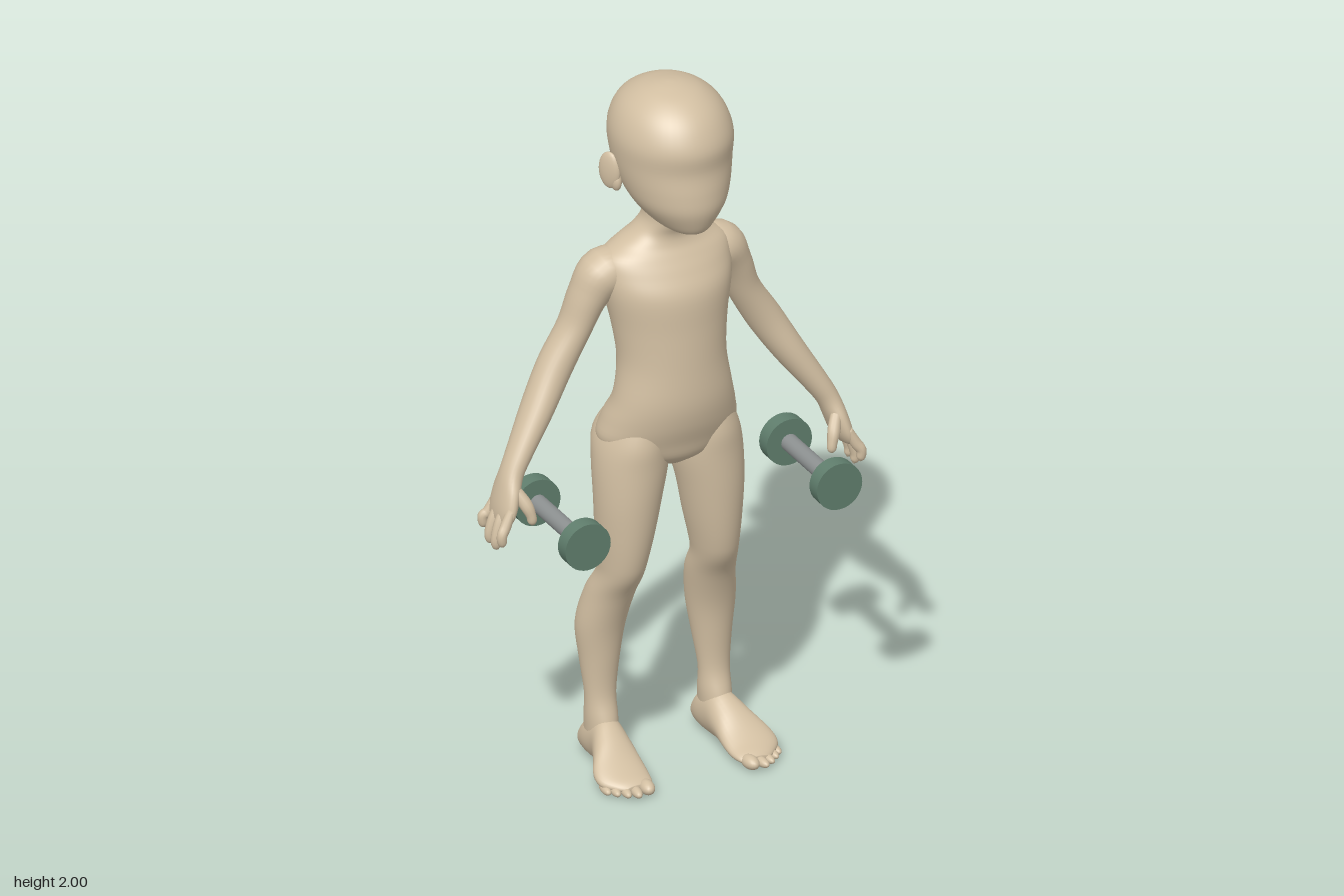
import * as THREE from 'three';

const skin = new THREE.MeshStandardMaterial({ color: 0xd2bfa2 });
skin.name = 'skin';
const green = new THREE.MeshStandardMaterial({ color: 0x5f7d6c });
green.name = 'weightGreen';
const grey = new THREE.MeshStandardMaterial({ color: 0x8c9090 });
grey.name = 'handleGrey';

const V = (x, y, z) => new THREE.Vector3(x, y, z);

// Smoothly interpolate between rows of numbers
function smooth(rows, steps) {
  const out = [];
  const at = i => rows[Math.max(0, Math.min(rows.length - 1, i))];
  for (let i = 0; i < rows.length - 1; i++) {
    for (let s = 0; s < steps; s++) {
      const t = s / steps;
      out.push(rows[i].map((b, k) => {
        const a = at(i - 1)[k], c = at(i + 1)[k], d = at(i + 2)[k];
        return b + 0.5 * t * (c - a + t * (2 * a - 5 * b + 4 * c - d + t * (3 * (b - c) + d - a)));
      }));
    }
  }
  out.push(rows[rows.length - 1]);
  return out;
}

// Skin over closed rings; each ring has centre c and half axes u, v (u x v points along the loft)
function loft(rings, seg, bend) {
  const pos = [], idx = [], n = rings.length;
  rings.forEach((ring, i) => {
    for (let j = 0; j < seg; j++) {
      const a = (j / seg) * Math.PI * 2;
      const p = ring.c.clone().addScaledVector(ring.u, Math.cos(a)).addScaledVector(ring.v, Math.sin(a));
      if (bend) bend(p, i, Math.cos(a));
      pos.push(p.x, p.y, p.z);
    }
  });
  for (let i = 0; i < n - 1; i++) {
    for (let j = 0; j < seg; j++) {
      const k = (j + 1) % seg, a = i * seg, b = a + seg;
      idx.push(a + j, a + k, b + j, a + k, b + k, b + j);
    }
  }
  const last = (n - 1) * seg, c0 = n * seg;
  pos.push(...rings[0].c.toArray(), ...rings[n - 1].c.toArray());
  for (let j = 0; j < seg; j++) {
    const k = (j + 1) % seg;
    idx.push(c0, k, j, c0 + 1, last + j, last + k);
  }
  const geo = new THREE.BufferGeometry();
  geo.setAttribute('position', new THREE.Float32BufferAttribute(pos, 3));
  geo.setIndex(idx);
  geo.computeVertexNormals();
  return geo;
}

// Upright loft from rows of [y, xMin, xMax, zFront, zBack, backGroove]
function upright(rows, seg = 40) {
  const r = smooth(rows, 5);
  return loft(r.map(([y, a, b, f, k]) => ({
    c: V((a + b) / 2, y, (f + k) / 2), u: V(0, 0, (f - k) / 2), v: V((b - a) / 2, 0, 0),
  })), seg, (p, i, front) => {
    const g = r[i][5] || 0;
    if (front < 0) p.z += g * Math.exp(-((p.x / 0.035) ** 2)) * -front;
  });
}

// Limb along points of [x, y, z, radius, zRadius]
function limb(points, seg = 24) {
  const r = smooth(points, 5);
  return loft(r.map(([x, y, z, a, b], i) => {
    const p = r[Math.max(0, i - 1)], q = r[Math.min(r.length - 1, i + 1)];
    const d = V(q[0] - p[0], q[1] - p[1], 0).normalize();
    return { c: V(x, y, z), u: V(0, 0, 1).cross(d).multiplyScalar(a), v: V(0, 0, b) };
  }), seg);
}

function mirrored(geo) {
  const g = geo.clone().scale(-1, 1, 1);
  const a = g.index.array;
  for (let i = 0; i < a.length; i += 3) [a[i + 1], a[i + 2]] = [a[i + 2], a[i + 1]];
  g.computeVertexNormals();
  return g;
}

function ball(x, y, z, rx, ry, rz, yaw = 0) {
  return new THREE.SphereGeometry(1, 20, 14).scale(rx, ry, rz).rotateY(yaw).translate(x, y, z);
}

export function createModel() {
  const model = new THREE.Group();
  model.name = 'figureWithDumbbells';
  const add = (name, geo, mat = skin) => {
    const m = new THREE.Mesh(geo, mat);
    m.name = name;
    model.add(m);
  };
  const pair = (name, geo, mat = skin) => {
    add('left' + name, geo, mat);
    add('right' + name, mirrored(geo), mat);
  };
  const sym = rows => rows.map(([y, w, f, b, g = 0]) => [y, -w, w, f, b, g]);

  // Torso and neck, with a groove down the back
  add('torso', upright(sym([
    [0.885, 0.06, 0.01, -0.1, 0.03], [0.92, 0.15, 0.052, -0.158, 0.045], [0.97, 0.196, 0.07, -0.18, 0.04],
    [1.03, 0.187, 0.09, -0.17, 0.02], [1.1, 0.166, 0.1, -0.135, 0.012], [1.2, 0.151, 0.096, -0.14, 0.016],
    [1.3, 0.16, 0.09, -0.16, 0.022], [1.4, 0.18, 0.083, -0.182, 0.025], [1.46, 0.187, 0.055, -0.182, 0.02],
    [1.5, 0.178, 0.03, -0.168, 0.01], [1.53, 0.135, 0.012, -0.155], [1.56, 0.088, 0.008, -0.14],
    [1.6, 0.061, 0.022, -0.128], [1.67, 0.06, 0.03, -0.125],
  ]), 64));

  // Head with smooth face
  add('head', upright(sym([
    [1.612, 0.03, 0.115, 0.03], [1.62, 0.058, 0.135, -0.03], [1.645, 0.09, 0.15, -0.105], [1.69, 0.124, 0.164, -0.145],
    [1.74, 0.144, 0.163, -0.182], [1.8, 0.157, 0.156, -0.207], [1.86, 0.161, 0.16, -0.217],
    [1.91, 0.149, 0.142, -0.206], [1.95, 0.124, 0.111, -0.177], [1.98, 0.085, 0.066, -0.126],
    [1.995, 0.043, 0.015, -0.07], [2.0, 0.008, -0.02, -0.035],
  ]), 48));
  pair('Ear', ball(0.163, 1.758, -0.06, 0.014, 0.053, 0.034, -0.45));
  pair('EarLobe', ball(0.15, 1.728, -0.048, 0.014, 0.028, 0.02));

  // Legs
  pair('Leg', upright([
    [1.04, 0.03, 0.165, 0.05, -0.14], [0.97, 0.012, 0.198, 0.064, -0.178], [0.9, 0.01, 0.21, 0.063, -0.158],
    [0.8, 0.032, 0.211, 0.06, -0.135], [0.7, 0.052, 0.206, 0.052, -0.13], [0.62, 0.07, 0.2, 0.04, -0.122],
    [0.57, 0.079, 0.2, 0.024, -0.122], [0.5, 0.082, 0.215, -0.016, -0.16], [0.4, 0.095, 0.23, -0.048, -0.18],
    [0.3, 0.111, 0.221, -0.061, -0.166], [0.2, 0.125, 0.211, -0.064, -0.145], [0.13, 0.125, 0.211, -0.045, -0.155],
    [0.07, 0.13, 0.208, -0.03, -0.165],
  ].reverse()));

  // Feet run forward from the heel: [z, xInner, xOuter, top, bottom]
  const foot = smooth([
    [-0.185, 0.155, 0.18, 0.045, 0.025], [-0.172, 0.135, 0.2, 0.075, 0.008], [-0.13, 0.123, 0.211, 0.12, 0],
    [-0.07, 0.122, 0.215, 0.14, 0.001], [-0.01, 0.12, 0.238, 0.112, 0.005], [0.04, 0.118, 0.263, 0.075, 0.003],
    [0.08, 0.12, 0.262, 0.052, 0], [0.115, 0.128, 0.232, 0.038, 0.004], [0.13, 0.14, 0.21, 0.028, 0.01],
  ], 5);
  pair('Foot', loft(foot.map(([z, a, b, t, o]) => ({
    c: V((a + b) / 2, (t + o) / 2, z), u: V((b - a) / 2, 0, 0), v: V(0, (t - o) / 2, 0),
  })), 32));
  [[0.153, 0.132, 0.02], [0.185, 0.133, 0.014], [0.209, 0.119, 0.013], [0.231, 0.1, 0.013], [0.249, 0.08, 0.013]]
    .forEach(([x, z, r], i) => pair('Toe' + (i + 1), ball(x, r * 0.95, z, r, r * 0.95, 0.033, 0.12)));

  // Arms from shoulder to wrist, flaring into the flat palm
  pair('Arm', limb([
    [0.08, 1.455, -0.08, 0.04, 0.05], [0.165, 1.452, -0.08, 0.066, 0.07], [0.212, 1.39, -0.088, 0.053, 0.061],
    [0.25, 1.3, -0.095, 0.045, 0.054], [0.309, 1.2, -0.092, 0.048, 0.052], [0.37, 1.1, -0.073, 0.043, 0.052],
    [0.436, 1.0, -0.046, 0.034, 0.043], [0.466, 0.95, -0.034, 0.03, 0.041], [0.483, 0.905, -0.027, 0.028, 0.055],
    [0.497, 0.86, -0.022, 0.025, 0.061], [0.507, 0.83, -0.022, 0.017, 0.054], [0.51, 0.82, -0.022, 0.006, 0.03],
  ], 28));

  // Fingers curl slightly inward: [z at knuckle, z at tip, tip height]
  [[0.024, 0.036, 0.775], [-0.007, 0.002, 0.753], [-0.037, -0.034, 0.756], [-0.066, -0.073, 0.785]]
    .forEach(([z, tz, y], i) => pair('Finger' + (i + 1), limb([
      [0.497, 0.87, z, 0.012, 0.013], [0.517, 0.83, (z + tz) / 2, 0.015, 0.015], [0.531, y + 0.033, tz, 0.014, 0.014],
      [0.53, y + 0.01, tz, 0.012, 0.012], [0.526, y, tz, 0.003, 0.003],
    ], 12)));
  pair('Thumb', limb([
    [0.478, 0.92, 0.0, 0.015, 0.018], [0.457, 0.88, 0.025, 0.018, 0.018], [0.446, 0.85, 0.036, 0.014, 0.014],
    [0.443, 0.83, 0.038, 0.012, 0.012], [0.443, 0.82, 0.038, 0.003, 0.003],
  ], 12));

  // Dumbbells lie front to back beside the hands
  const rod = (r, z0, z1) => new THREE.CylinderGeometry(r, r, z1 - z0, 32)
    .rotateX(Math.PI / 2).translate(0.372, 0.82, (z0 + z1) / 2);
  pair('DumbbellHandle', rod(0.024, -0.07, 0.18), grey);
  // Mirroring keeps the flat ends crisp through the unshared cap vertices
  pair('DumbbellFrontWeight', rod(0.067, 0.176, 0.219), green);
  pair('DumbbellBackWeight', rod(0.067, -0.109, -0.066), green);
  return model;
}
